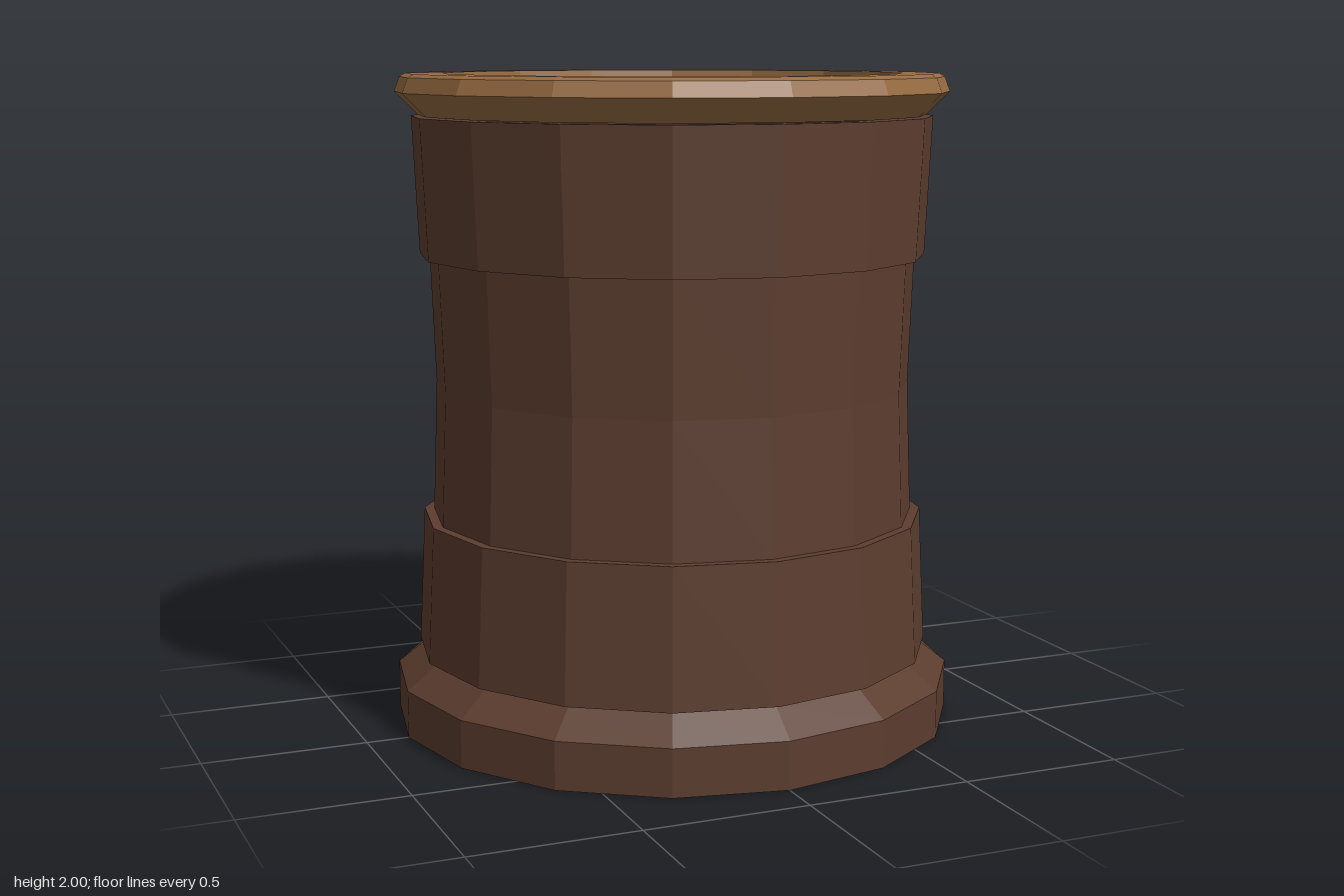
import * as THREE from 'three';

const SIDES = 16;
const STEP = (Math.PI * 2) / SIDES;

export function createModel() {
  const group = new THREE.Group();
  group.name = 'pot';
  const brown = new THREE.MeshStandardMaterial({ color: 0x5c3d2f });
  brown.name = 'dark brown clay';
  const tan = new THREE.MeshStandardMaterial({ color: 0x966b42 });
  tan.name = 'tan rim';

  // Adds a mesh with faceted normals
  function add(name, geometry, material) {
    const flat = geometry.toNonIndexed();
    flat.computeVertexNormals();
    const mesh = new THREE.Mesh(flat, material);
    mesh.name = name;
    group.add(mesh);
  }

  // Turned ring of [radius, y] points, spanning some or all of the sides
  function ring(name, points, material, first = 0, count = SIDES) {
    const profile = points.map(([r, y]) => new THREE.Vector2(r, y));
    add(name, new THREE.LatheGeometry(profile, count, first * STEP, count * STEP), material);
  }

  // Foot and body, from the ground up
  ring('base', [[0, 0], [0.87, 0], [0.87, 0.145], [0.775, 0.22], [0.74, 0.22]], brown);
  ring('lowerBand', [[0.74, 0.225], [0.8, 0.225], [0.78, 0.645], [0.74, 0.645]], brown);
  ring('waist', [[0.75, 0.64], [0.735, 1.05], [0.75, 1.455]], brown);
  ring('upperBand', [[0.74, 1.45], [0.78, 1.45], [0.8, 1.872], [0.74, 1.872]], brown);

  // Rim, with a worn brown patch at the back
  ring('rimUnderside', [[0.74, 1.875], [0.78, 1.875], [0.85, 1.945]], tan);
  const edge = [[0.85, 1.945], [0.833, 1.99]];
  ring('rimEdge', edge, tan, 10, 15);
  ring('rimEdgePatch', edge, brown, 9, 1);
  const top = [[0.833, 1.99], [0.815, 2], [0.705, 2]];
  ring('rimTop', top, tan, 11, 13);
  ring('rimTopPatch', top, brown, 8, 3);
  ring('rimInside', [[0.705, 2], [0.685, 1.88]], tan);

  // Hollow inside
  ring('innerWall', [[0.685, 1.88], [0.685, 0.2]], brown);

  // Floor: a 4 x 4 grid fitted into the sixteen-sided wall, raised at front and back
  const floor = new THREE.PlaneGeometry(4, 4, 4, 4).rotateX(-Math.PI / 2);
  const pos = floor.attributes.position;
  for (let i = 0; i < pos.count; i++) {
    const x = Math.round(pos.getX(i));
    const z = Math.round(pos.getZ(i));
    const y = Math.abs(z) === 2 ? 0.29 : 0.23;
    if (Math.max(Math.abs(x), Math.abs(z)) < 2) {
      pos.setXYZ(i, x * 0.38, y, z * 0.38);
    } else {
      const k = Math.abs(x) === 2 ? z / x : x / z;
      const a = k * Math.PI / 4;
      const near = 0.685 * Math.cos(a);
      const side = 0.685 * Math.sin(a);
      if (Math.abs(x) === 2) pos.setXYZ(i, Math.sign(x) * near, y, Math.sign(x) * side);
      else pos.setXYZ(i, Math.sign(z) * side, y, Math.sign(z) * near);
    }
  }
  add('floor', floor, brown);

  return group;
}
